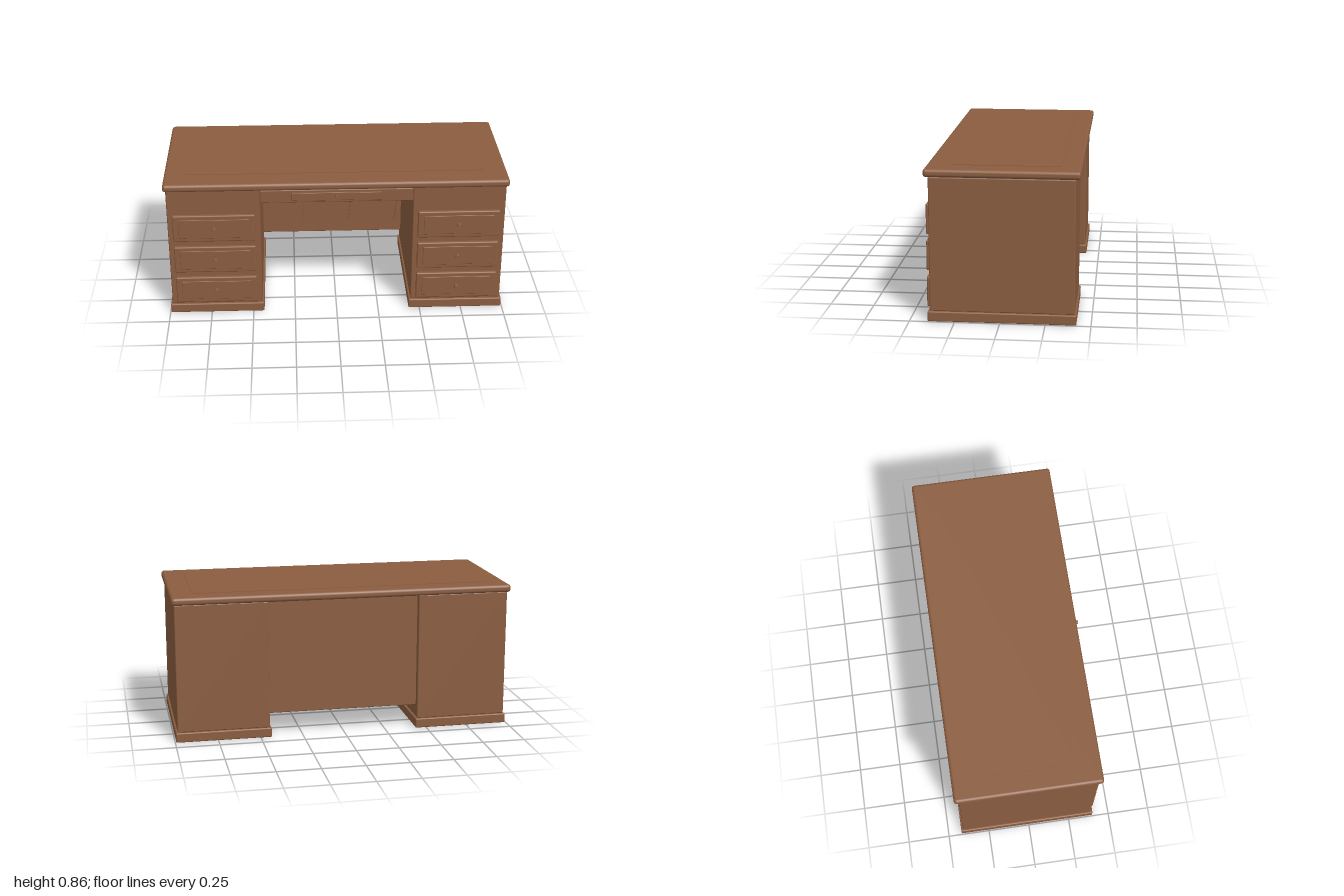
import * as THREE from 'three';
import { RoundedBoxGeometry } from 'three/addons/geometries/RoundedBoxGeometry.js';

export function createModel() {
  const desk = new THREE.Group();
  desk.name = 'desk';
  const wood = new THREE.MeshStandardMaterial({ color: 0x8b5d40 });
  wood.name = 'brown wood';

  const add = (name, geometry, parent = desk) => {
    const mesh = new THREE.Mesh(geometry, wood);
    mesh.name = name;
    parent.add(mesh);
    return mesh;
  };
  // Rounded block given by its limits on each axis
  const block = (name, [x0, x1], [y0, y1], [z0, z1], r, parent) => {
    const mesh = add(name, new RoundedBoxGeometry(x1 - x0, y1 - y0, z1 - z0, 3, r), parent);
    mesh.position.set((x0 + x1) / 2, (y0 + y1) / 2, (z0 + z1) / 2);
    return mesh;
  };
  // Round knob pointing forward
  const knob = (x, y, z0, z1, r, parent) => {
    const mesh = add('knob', new THREE.CylinderGeometry(r, r, z1 - z0, 20).rotateX(Math.PI / 2), parent);
    mesh.position.set(x, y, (z0 + z1) / 2);
  };

  // Desktop with a thin raised writing surface
  block('desktop', [-1, 1], [0.812, 0.857], [-0.437, 0.415], 0.018);
  const inset = add('writingSurface', new THREE.BoxGeometry(1.744, 0.006, 0.6));
  inset.position.set(0, 0.857, -0.025);

  // Two pedestals, each with a plinth and three drawers
  for (const side of [-1, 1]) {
    const pedestal = new THREE.Group();
    pedestal.name = side > 0 ? 'leftPedestal' : 'rightPedestal';
    desk.add(pedestal);
    const c = side * 0.715;
    const span = (half) => [c - half, c + half];
    block('cabinet', span(0.27), [0.057, 0.812], [-0.41, 0.388], 0.007, pedestal);
    block('plinth', span(0.28), [0, 0.057], [-0.42, 0.4], 0.007, pedestal);
    for (const y of [0.159, 0.365, 0.571]) {
      block('drawerFront', span(0.24), [y - 0.085, y + 0.085], [0.38, 0.407], 0.008, pedestal);
      block('drawerPanel', span(0.205), [y - 0.06, y + 0.06], [0.395, 0.412], 0.003, pedestal);
      knob(c, y, 0.405, 0.44, 0.013, pedestal);
    }
  }

  // Shallow centre drawer
  block('centreDrawer', [-0.443, 0.443], [0.73, 0.81], [0.37, 0.4], 0.006);
  block('centreDrawerPanel', [-0.26, 0.26], [0.746, 0.795], [0.39, 0.41], 0.003);
  knob(0, 0.771, 0.4, 0.432, 0.011);

  // Back panel of the kneehole
  block('backPanel', [-0.447, 0.447], [0.133, 0.812], [-0.375, -0.345], 0.005);

  // Three horseshoe arches applied to the back panel
  const outer = [[0.125, 0.213], [0.137, 0.31], [0.147, 0.41], [0.137, 0.51], [0.1, 0.605], [0.045, 0.651], [0, 0.658]];
  const inner = [[0.102, 0.213], [0.113, 0.31], [0.122, 0.41], [0.112, 0.505], [0.08, 0.59], [0.036, 0.628], [0, 0.634]];
  const smooth = (half) => {
    const mirrored = half.slice(0, -1).reverse().map(([x, y]) => [-x, y]);
    const points = [...half, ...mirrored].map(([x, y]) => new THREE.Vector2(x, y));
    return new THREE.SplineCurve(points).getPoints(48);
  };
  const arch = new THREE.Shape([...smooth(outer), ...smooth(inner).reverse()]);
  const archGeometry = new THREE.ExtrudeGeometry(arch, { depth: 0.02, bevelEnabled: false });
  for (const x of [-0.298, 0, 0.298]) {
    add('arch', archGeometry).position.set(x, 0, -0.35);
  }

  return desk;
}
